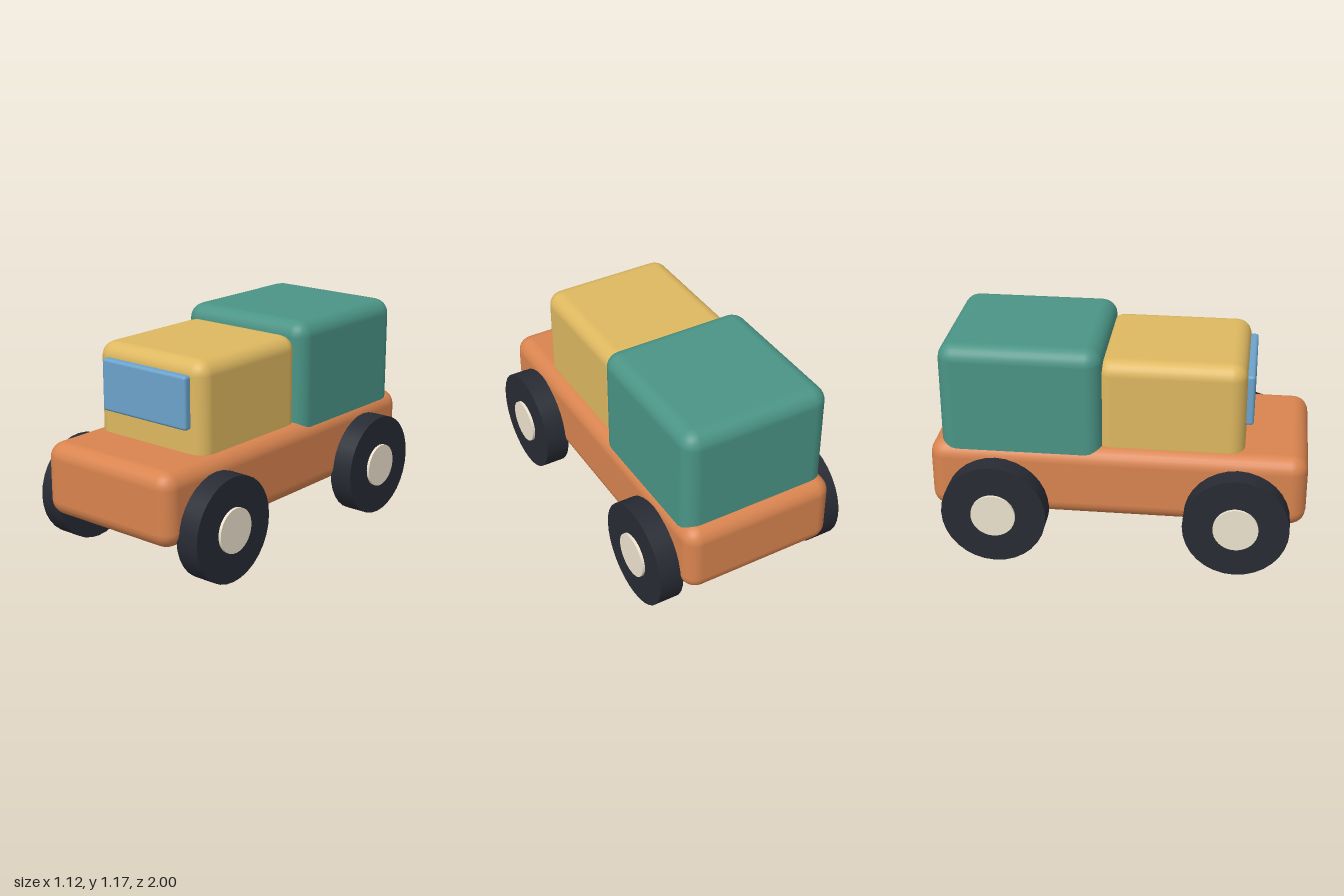
import * as THREE from 'three';
import { RoundedBoxGeometry } from 'three/addons/geometries/RoundedBoxGeometry.js';

const paint = (color) => new THREE.MeshStandardMaterial({ color });

// Rounded block given by its half width and its y and z ranges
function block(name, halfWidth, [y0, y1], [z0, z1], radius, material) {
  const geometry = new RoundedBoxGeometry(halfWidth * 2, y1 - y0, z1 - z0, 3, radius);
  const mesh = new THREE.Mesh(geometry, material);
  mesh.name = name;
  mesh.position.set(0, (y0 + y1) / 2, (z0 + z1) / 2);
  return mesh;
}

// Disc with its axle along x
function disc(name, radius, width, x, material) {
  const geometry = new THREE.CylinderGeometry(radius, radius, width, 32).rotateZ(Math.PI / 2);
  const mesh = new THREE.Mesh(geometry, material);
  mesh.name = name;
  mesh.position.x = x;
  return mesh;
}

export function createModel() {
  const truck = new THREE.Group();
  truck.name = 'toyTruck';

  // Body, cab, cargo box and windscreen
  truck.add(
    block('chassis', 0.43, [0.23, 0.627], [-1, 1], 0.085, paint(0xd9844f)),
    block('cab', 0.365, [0.55, 1.108], [-0.11, 0.667], 0.08, paint(0xdeb860)),
    block('cargoBox', 0.412, [0.5, 1.175], [-0.938, -0.078], 0.085, paint(0x4a9486)),
    block('windscreen', 0.287, [0.755, 1.035], [0.655, 0.706], 0.016, paint(0x6ba3cc)),
  );

  // Four wheels with pale hubs
  const rubber = paint(0x282b34);
  const cream = paint(0xeee4d0);
  for (const side of [1, -1]) {
    for (const end of [1, -1]) {
      const wheel = new THREE.Group();
      wheel.name = (end > 0 ? 'front' : 'rear') + (side > 0 ? 'Left' : 'Right') + 'Wheel';
      wheel.position.set(side * 0.48, 0.28, end * 0.64);
      wheel.add(
        disc('tyre', 0.28, 0.132, 0, rubber),
        disc('hub', 0.119, 0.06, side * 0.051, cream),
      );
      truck.add(wheel);
    }
  }
  return truck;
}
